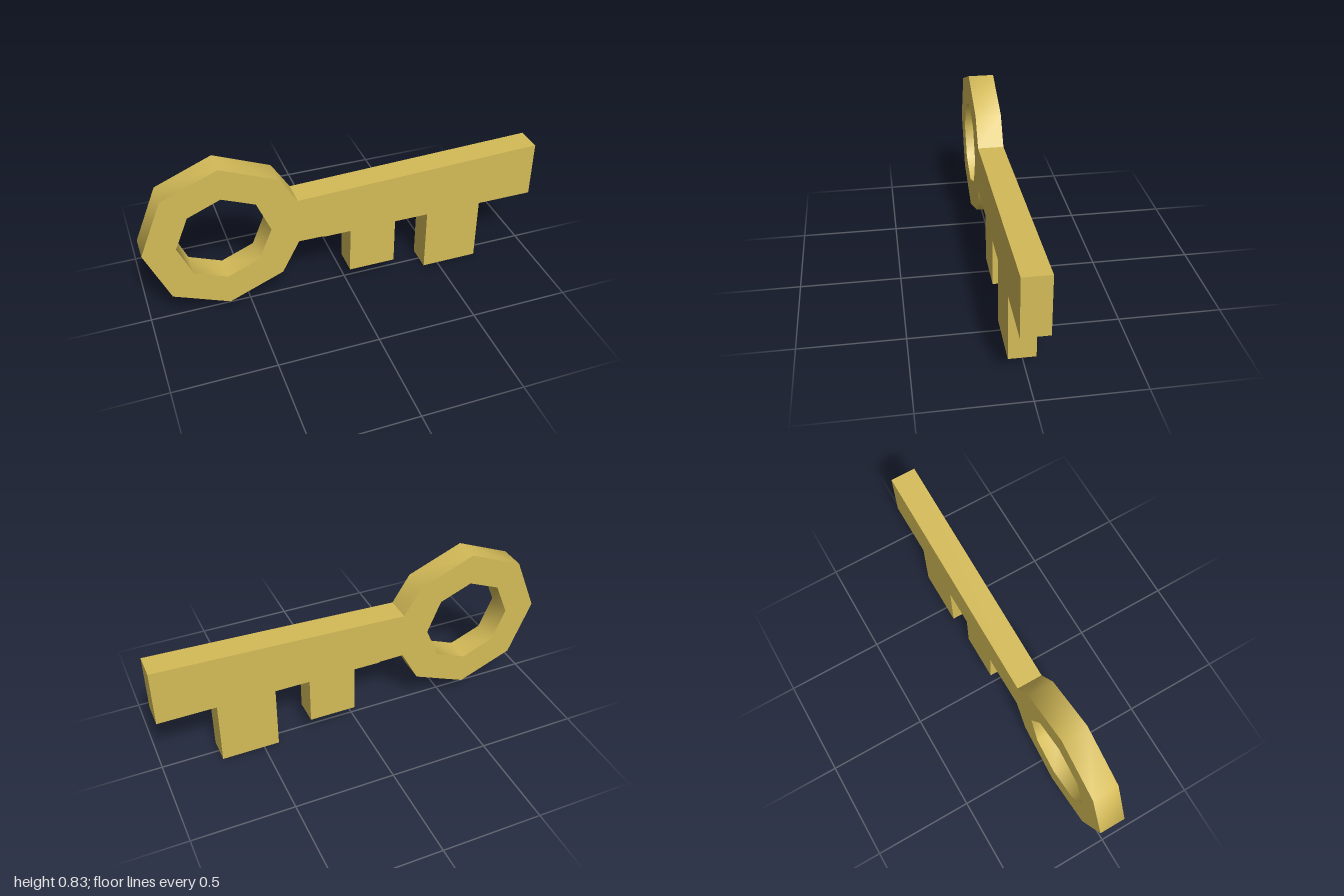
import * as THREE from 'three';
import { toCreasedNormals } from 'three/addons/utils/BufferGeometryUtils.js';

const DEPTH = 0.13;
const BOW = { x: -0.614, y: 0.446, outer: 0.386, inner: 0.227 };

// Corner i of an octagon around the bow centre, counted from +x
function bowCorner(radius, i) {
  const a = (i * Math.PI) / 4;
  return new THREE.Vector2(BOW.x + radius * Math.cos(a), BOW.y + radius * Math.sin(a));
}

export function createModel() {
  const group = new THREE.Group();
  group.name = 'key';

  const brass = new THREE.MeshStandardMaterial({ color: 0xd4bb58 });
  brass.name = 'brass';

  // Bow: seven octagon corners, the eighth opens into the shank
  const bow = [1, 2, 3, 4, 5, 6, 7].map((i) => bowCorner(BOW.outer, i));

  // Shank with two rectangular bits, from the lower neck round to the upper one
  const shank = [
    [-0.253, 0.34], [-0.13, 0.338], [-0.12, 0.334],
    [0.01, 0.334], [0.01, 0.088], [0.248, 0.088], [0.248, 0.334],
    [0.423, 0.334], [0.423, 0], [0.713, 0], [0.713, 0.334],
    [1, 0.334], [1, 0.623], [-0.253, 0.579],
  ].map(([x, y]) => new THREE.Vector2(x, y));

  const outline = new THREE.Shape([...bow, ...shank]);

  // Octagonal hole in the bow
  const hole = Array.from({ length: 8 }, (_, i) => bowCorner(BOW.inner, 8 - i));
  outline.holes.push(new THREE.Path(hole));

  // Smooth walls around the bow, sharp edges elsewhere
  let geometry = new THREE.ExtrudeGeometry(outline, { depth: DEPTH, bevelEnabled: false });
  geometry.translate(0, 0, -DEPTH / 2);
  geometry = toCreasedNormals(geometry, THREE.MathUtils.degToRad(50));

  const body = new THREE.Mesh(geometry, brass);
  body.name = 'keyBody';
  group.add(body);
  return group;
}
